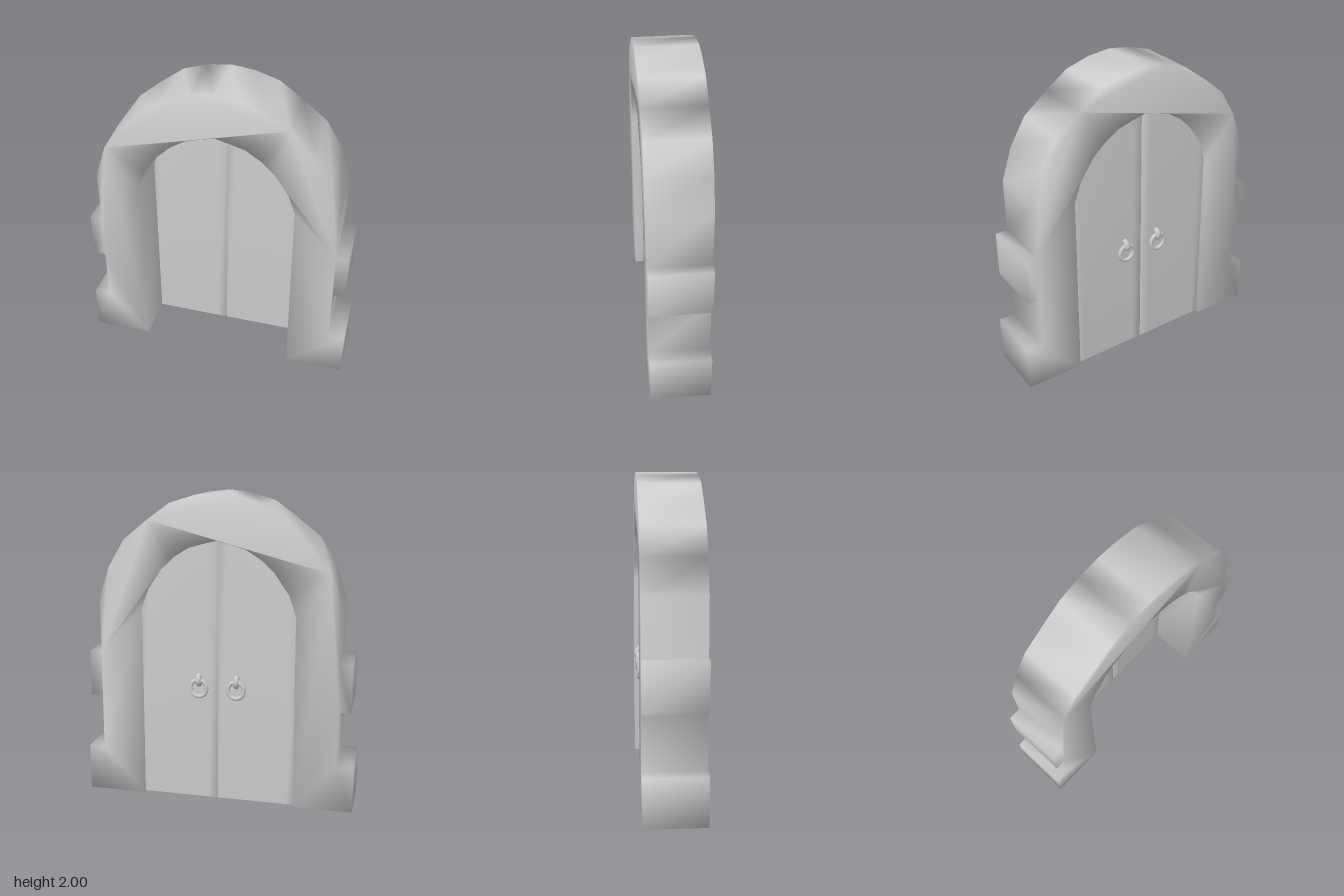
import * as THREE from 'three';
import { mergeVertices } from 'three/addons/utils/BufferGeometryUtils.js';

const material = new THREE.MeshStandardMaterial({ color: 0xcccccc });

// Right half outlines (x, y), from the ground up to the crown
const outer = [[0.885, 0], [0.885, 0.305], [0.78, 0.305], [0.78, 0.665], [0.855, 0.665], [0.855, 0.97],
  [0.775, 0.97], [0.775, 1.32], [0.705, 1.53], [0.6, 1.705], [0.445, 1.83], [0.3, 1.935], [0.145, 1.983], [0, 2]];
const inner = [[0.505, 0], [0.5, 1.26], [0.455, 1.39], [0.365, 1.52], [0.28, 1.6], [0.185, 1.66], [0.09, 1.688], [0, 1.71]];

// Weld all corners so the shading runs softly round every edge
function soften(geometry) {
  geometry.deleteAttribute('normal');
  geometry.deleteAttribute('uv');
  const welded = mergeVertices(geometry, 1e-4);
  welded.computeVertexNormals();
  return welded;
}

function addMesh(parent, name, geometry) {
  const mesh = new THREE.Mesh(geometry, material);
  mesh.name = name;
  parent.add(mesh);
  return mesh;
}

// Height of the opening at a given distance from the middle
function archHeight(x) {
  for (let i = inner.length - 1; i > 1; i--) {
    const [x0, y0] = inner[i], [x1, y1] = inner[i - 1];
    if (x <= x1) return y0 + (y1 - y0) * (x - x0) / (x1 - x0);
  }
  return inner[1][1];
}

// Stone surround with stepped blocks on both sides
function frameGeometry() {
  const mirror = (pts) => pts.slice(0, -1).reverse().map(([x, y]) => [-x, y]);
  const outline = [...outer, ...mirror(outer)];
  const opening = [...inner, ...mirror(inner)].reverse();
  const shape = new THREE.Shape([...outline, ...opening].map(([x, y]) => new THREE.Vector2(x, y)));
  const geometry = new THREE.ExtrudeGeometry(shape, { depth: 0.385, bevelEnabled: false });
  geometry.translate(0, 0, -0.185);
  return soften(geometry);
}

// One door leaf: a box whose top edge follows the arch, tucked slightly into the stone
function leafGeometry(side) {
  const width = 0.52;
  const geometry = new THREE.BoxGeometry(width, 1, 0.055, 8, 1, 1);
  geometry.translate(side * width / 2, 0.5, -0.128);
  const p = geometry.attributes.position;
  for (let i = 0; i < p.count; i++) {
    if (p.getY(i) > 0.5) p.setY(i, archHeight(Math.abs(p.getX(i))) + 0.02);
  }
  return soften(geometry);
}

export function createModel() {
  const group = new THREE.Group();
  group.name = 'archedDoorway';
  addMesh(group, 'stoneFrame', frameGeometry());

  for (const side of [-1, 1]) {
    const label = side > 0 ? 'left' : 'right';
    addMesh(group, label + 'DoorLeaf', leafGeometry(side));

    // Ring handle hanging from a loop on the back of the leaf
    const handle = new THREE.Group();
    handle.name = label + 'Handle';
    handle.position.set(side * 0.123, 0, 0);
    const loop = addMesh(handle, 'handleLoop', new THREE.TorusGeometry(0.028, 0.019, 8, 10));
    loop.rotation.y = Math.PI / 2;
    loop.position.set(0, 0.81, -0.155);
    const ring = addMesh(handle, 'handleRing', new THREE.TorusGeometry(0.053, 0.013, 8, 14));
    ring.scale.y = 1.05;
    ring.position.set(0, 0.758, -0.174);
    group.add(handle);
  }
  return group;
}
